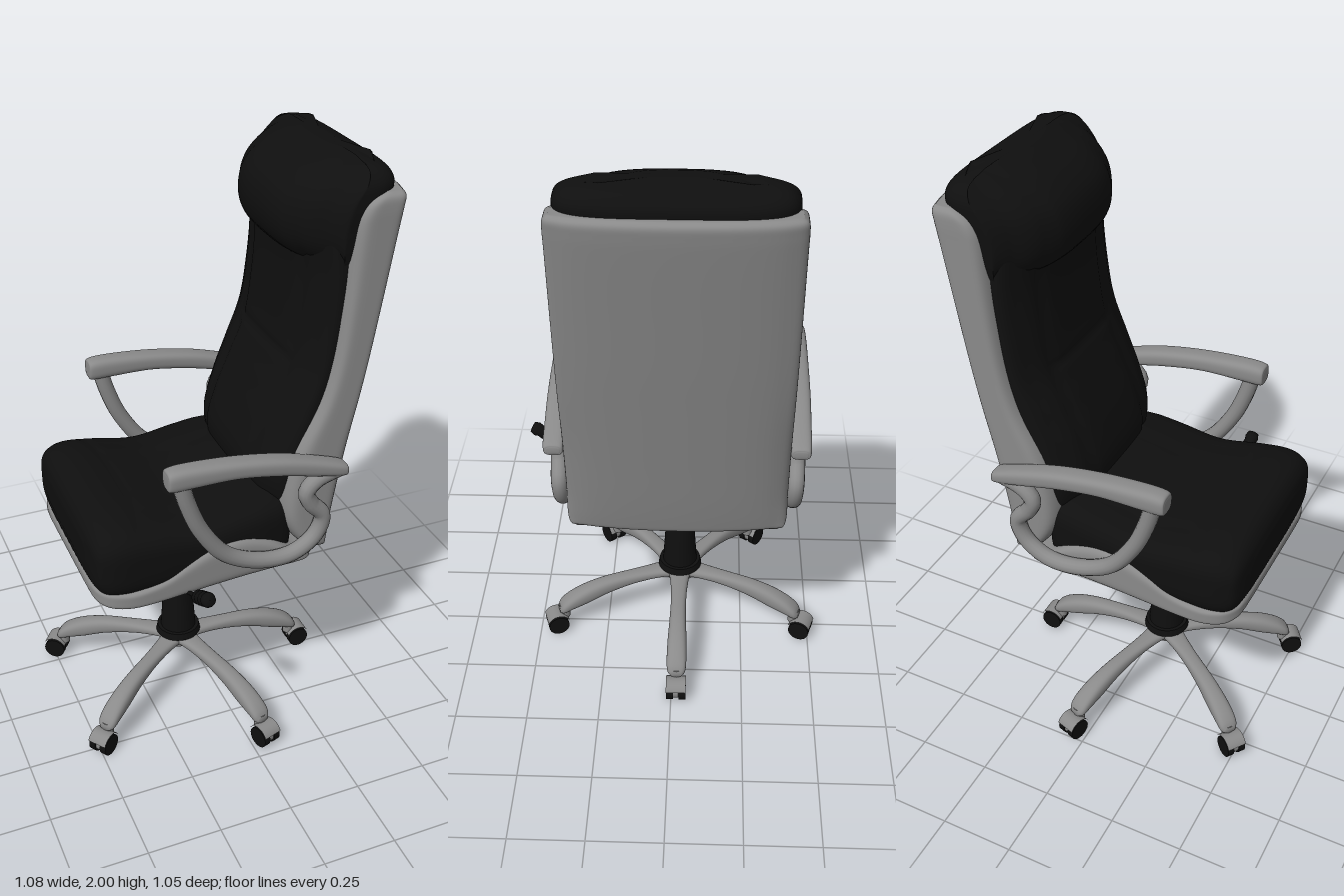
import * as THREE from 'three';

const grey = new THREE.MeshStandardMaterial({ color: 0x8a8a8a });
const greyOpen = new THREE.MeshStandardMaterial({ color: 0x8a8a8a, side: THREE.DoubleSide });
const steel = new THREE.MeshStandardMaterial({ color: 0xa0a0a0 });
const black = new THREE.MeshStandardMaterial({ color: 0x0f0f0f });

function add(parent, name, geometry, material, x = 0, y = 0, z = 0) {
  const mesh = new THREE.Mesh(geometry, material);
  mesh.name = name;
  mesh.position.set(x, y, z);
  parent.add(mesh);
  return mesh;
}

// Soft box swept along x or y. Each key is [position, low, high, halfWidth]; n sets how
// square the section is, bowHigh and bowLow pull the sides of the high and low faces back,
// dent(t, z, v) presses the surface inwards.
function loft(axis, keys, { n = 4, steps = 48, side = 24, bowHigh = 0, bowLow = 0, dent = () => 0 } = {}) {
  const curve = (f) => new THREE.CatmullRomCurve3(keys.map(f), false, 'catmullrom', 0.5);
  const edges = curve((k) => new THREE.Vector3(k[0], k[1], k[2]));
  const widths = curve((k) => new THREE.Vector3(k[3], 0, 0));
  const count = side * 4, pos = [], index = [];
  const put = (t, a, z) => (axis === 'x' ? pos.push(t, a, z) : pos.push(a, t, z));
  const tri = (a, b, c) => (axis === 'x' ? index.push(a, c, b) : index.push(a, b, c));
  for (let i = 0; i <= steps; i++) {
    const e = edges.getPoint(i / steps), w = widths.getPoint(i / steps).x;
    const mid = (e.y + e.z) / 2, half = (e.z - e.y) / 2;
    for (let j = 0; j < count; j++) {
      const s = (j % side) / side * 2 - 1;
      const [u, v] = [[1, s], [-s, 1], [-1, -s], [s, -1]][Math.floor(j / side)];
      const r = Math.pow(Math.abs(u) ** n + Math.abs(v) ** n, -1 / n);
      const z = u * r * w, out = Math.abs(u * r);
      const bow = bowLow * out ** 3 * Math.max(-v, 0) - bowHigh * out ** 2 * Math.max(v, 0);
      put(e.x, mid + v * r * half - v * dent(e.x, z, v) + bow, z);
    }
  }
  for (let i = 0; i < steps; i++) {
    for (let j = 0; j < count; j++) {
      const a = i * count + j, b = i * count + (j + 1) % count;
      tri(a, b, a + count);
      tri(b, b + count, a + count);
    }
  }
  // End caps
  const first = keys[0], last = keys[keys.length - 1], c = pos.length / 3;
  put(first[0], (first[1] + first[2]) / 2, 0);
  put(last[0], (last[1] + last[2]) / 2, 0);
  for (let j = 0; j < count; j++) {
    const k = (j + 1) % count, top = steps * count;
    tri(c, k, j);
    tri(c + 1, top + j, top + k);
  }
  const g = new THREE.BufferGeometry();
  g.setAttribute('position', new THREE.Float32BufferAttribute(pos, 3));
  g.setIndex(index);
  g.computeVertexNormals();
  return g;
}

const seam = (d) => Math.exp(-((d / 0.013) ** 2));
const tube = (pts, r, seg) => new THREE.TubeGeometry(
  new THREE.CatmullRomCurve3(pts.map((p) => new THREE.Vector3(...p))), seg, r, 14);

// Cylinder laid between two points
function rod(parent, name, from, to, r0, r1) {
  const a = new THREE.Vector3(...from), b = new THREE.Vector3(...to), d = b.clone().sub(a);
  const m = add(parent, name, new THREE.CylinderGeometry(r1, r0, d.length(), 24), black);
  m.position.copy(a).addScaledVector(d, 0.5);
  m.quaternion.setFromUnitVectors(new THREE.Vector3(0, 1, 0), d.normalize());
}

function makeSeat(g) {
  add(g, 'seatShell', loft('x', [
    [-0.495, 0.665, 0.69, 0.23], [-0.485, 0.648, 0.703, 0.29], [-0.45, 0.636, 0.71, 0.335],
    [-0.38, 0.63, 0.71, 0.357], [-0.28, 0.63, 0.73, 0.36], [-0.19, 0.63, 0.78, 0.36],
    [-0.1, 0.632, 0.82, 0.36], [0, 0.638, 0.828, 0.36], [0.1, 0.648, 0.79, 0.36],
    [0.18, 0.66, 0.73, 0.36], [0.23, 0.667, 0.712, 0.355], [0.25, 0.68, 0.7, 0.335]], { n: 6 }), grey);
  add(g, 'seatCushion', loft('x', [
    [-0.5, 0.75, 0.85, 0.22], [-0.49, 0.7, 0.89, 0.31], [-0.46, 0.66, 0.922, 0.342],
    [-0.4, 0.65, 0.933, 0.357], [-0.3, 0.65, 0.92, 0.356], [-0.15, 0.65, 0.895, 0.347],
    [0, 0.65, 0.918, 0.345], [0.1, 0.65, 0.932, 0.34], [0.17, 0.66, 0.925, 0.325],
    [0.2, 0.7, 0.88, 0.28]], {
    steps: 72,
    dent: (x, z, v) => (v < 0.9 ? 0 : Math.max(0.004 * seam(x + 0.31 + z * z * 0.3),
      x > -0.3 ? 0.007 * Math.max(seam(Math.abs(z) - 0.13), 0.6 * seam(Math.abs(z) - 0.23)) : 0)),
  }), black);
}

function makeBack(g) {
  add(g, 'backShell', loft('y', [
    [0.705, 0.28, 0.31, 0.33], [0.715, 0.245, 0.328, 0.35], [0.75, 0.19, 0.338, 0.36],
    [0.85, 0.14, 0.358, 0.36], [1, 0.15, 0.385, 0.36], [1.1, 0.18, 0.403, 0.36],
    [1.25, 0.255, 0.43, 0.36], [1.4, 0.295, 0.457, 0.36], [1.6, 0.318, 0.492, 0.36],
    [1.8, 0.333, 0.527, 0.36], [1.87, 0.35, 0.538, 0.36], [1.905, 0.385, 0.54, 0.356],
    [1.922, 0.43, 0.525, 0.34]], { n: 6, steps: 64, bowHigh: 0.025 }), grey);
  add(g, 'backCushion', loft('y', [
    [0.85, 0.13, 0.28, 0.27], [0.88, 0.09, 0.3, 0.31], [0.98, 0.073, 0.32, 0.325],
    [1.1, 0.105, 0.34, 0.325], [1.22, 0.155, 0.36, 0.325], [1.35, 0.207, 0.39, 0.325],
    [1.5, 0.23, 0.42, 0.325], [1.65, 0.24, 0.44, 0.325], [1.78, 0.23, 0.46, 0.32]], {
    steps: 72, bowLow: 0.04,
    dent: (y, z, v) => (v > -0.9 ? 0 : 0.009 * Math.max(seam(Math.abs(z) - 0.19),
      Math.abs(z) < 0.19 ? seam(y - 1.35) : 0)),
  }), black);
  add(g, 'headrest', loft('y', [
    [1.67, 0.265, 0.4, 0.3], [1.7, 0.215, 0.43, 0.322], [1.75, 0.18, 0.46, 0.333],
    [1.82, 0.17, 0.49, 0.337], [1.89, 0.19, 0.51, 0.34], [1.945, 0.245, 0.513, 0.335],
    [1.98, 0.315, 0.48, 0.3], [2, 0.37, 0.42, 0.22]], {
    bowLow: 0.13, dent: (y, z, v) => (v > -0.9 ? 0 : 0.009 * seam(Math.abs(z) - 0.2)),
  }), black);
}

function makeArm(g, s) {
  const arm = new THREE.Group();
  arm.name = s > 0 ? 'leftArm' : 'rightArm';
  g.add(arm);
  add(arm, 'armPad', loft('x', [
    [-0.28, 1.105, 1.145, 0.024], [-0.27, 1.092, 1.162, 0.035], [-0.2, 1.092, 1.165, 0.038],
    [-0.05, 1.09, 1.153, 0.038], [0.1, 1.065, 1.128, 0.038], [0.22, 1.035, 1.095, 0.036],
    [0.32, 1.015, 1.06, 0.033], [0.335, 1.025, 1.045, 0.02]], { n: 3, side: 10 }), grey, 0, 0, s * 0.39);
  add(arm, 'armLoop', tube([
    [-0.235, 1.12], [-0.212, 1.03], [-0.165, 0.915], [-0.075, 0.795], [0.05, 0.738], [0.16, 0.737],
    [0.24, 0.79], [0.262, 0.865], [0.215, 0.925], [0.2, 0.97], [0.235, 1.01], [0.31, 1.035],
  ].map(([x, y]) => [x, y, s * (0.383 + 0.01 * Math.max(0, (y - 0.8) / 0.3))]), 0.028, 70), grey);
}

function makeBase(g) {
  const base = new THREE.Group();
  base.name = 'base';
  base.position.x = -0.1;
  g.add(base);
  add(base, 'hub', new THREE.CylinderGeometry(0.065, 0.055, 0.05, 32), grey, 0, 0.19);
  add(base, 'columnFlange', new THREE.CylinderGeometry(0.075, 0.08, 0.025, 32), black, 0, 0.225);
  add(base, 'columnSleeve', new THREE.CylinderGeometry(0.05, 0.063, 0.2, 32), black, 0, 0.335);
  add(base, 'gasColumn', new THREE.CylinderGeometry(0.038, 0.038, 0.16, 32), steel, 0, 0.5);
  const legGeo = loft('x', [
    [0, 0.17, 0.213, 0.05], [0.08, 0.172, 0.21, 0.034], [0.18, 0.162, 0.207, 0.028],
    [0.28, 0.14, 0.2, 0.03], [0.36, 0.112, 0.182, 0.034], [0.42, 0.095, 0.155, 0.035],
    [0.455, 0.083, 0.128, 0.032], [0.47, 0.085, 0.105, 0.02]], { n: 2.6, side: 8, steps: 32 });
  const wheelGeo = new THREE.CylinderGeometry(0.038, 0.038, 0.024, 28).rotateX(Math.PI / 2);
  const hoodGeo = new THREE.CylinderGeometry(0.043, 0.043, 0.07, 24, 1, true, Math.PI * 0.62, Math.PI * 0.76)
    .rotateX(Math.PI / 2);
  const coreGeo = new THREE.CylinderGeometry(0.034, 0.034, 0.018, 24).rotateX(Math.PI / 2);
  for (let i = 0; i < 5; i++) {
    const leg = new THREE.Group();
    leg.name = 'leg' + (i + 1);
    leg.rotation.y = i * Math.PI * 0.4;
    base.add(leg);
    add(leg, 'legBeam', legGeo, grey);
    add(leg, 'casterStem', new THREE.CylinderGeometry(0.02, 0.02, 0.05, 16), grey, 0.45, 0.085);
    add(leg, 'casterHood', hoodGeo, greyOpen, 0.48, 0.041);
    add(leg, 'casterCore', coreGeo, grey, 0.48, 0.041);
    for (const s of [-1, 1]) add(leg, 'casterWheel', wheelGeo, black, 0.48, 0.038, s * 0.022);
  }
}

function makeMechanism(g) {
  add(g, 'tiltHousing', loft('y', [
    [0.56, -0.17, 0.11, 0.07], [0.57, -0.178, 0.122, 0.085], [0.61, -0.182, 0.13, 0.112],
    [0.655, -0.185, 0.13, 0.13]], { n: 10, side: 10, steps: 16 }), black);
  add(g, 'columnSocket', new THREE.CylinderGeometry(0.055, 0.048, 0.04, 24), black, -0.1, 0.55);
  // Tension knob under the seat front
  rod(g, 'knobShaft', [-0.15, 0.63, 0], [-0.33, 0.605, 0], 0.018, 0.018);
  rod(g, 'tensionKnob', [-0.325, 0.61, 0], [-0.395, 0.54, 0], 0.048, 0.05);
  // Height lever with ribbed grip
  rod(g, 'leverRod', [-0.19, 0.62, 0.1], [-0.19, 0.565, 0.19], 0.007, 0.007);
  rod(g, 'leverRod', [-0.19, 0.565, 0.19], [-0.195, 0.7, 0.44], 0.007, 0.007);
  const grip = add(g, 'leverGrip', new THREE.LatheGeometry([
    [0, 0], [0.018, 0.002], [0.024, 0.015], [0.021, 0.03], [0.025, 0.045], [0.021, 0.06],
    [0.025, 0.075], [0.021, 0.09], [0.025, 0.105], [0.02, 0.122], [0, 0.125],
  ].map(([x, y]) => new THREE.Vector2(x, y)), 20), black, -0.195, 0.693, 0.43);
  grip.rotation.x = Math.PI / 2 - 0.53;
}

export function createModel() {
  const model = new THREE.Group();
  model.name = 'officeChair';
  const chair = new THREE.Group();
  chair.name = 'chair';
  chair.position.z = -0.018;
  model.add(chair);
  makeSeat(chair);
  makeBack(chair);
  for (const s of [-1, 1]) makeArm(chair, s);
  makeBase(chair);
  makeMechanism(chair);
  return model;
}
